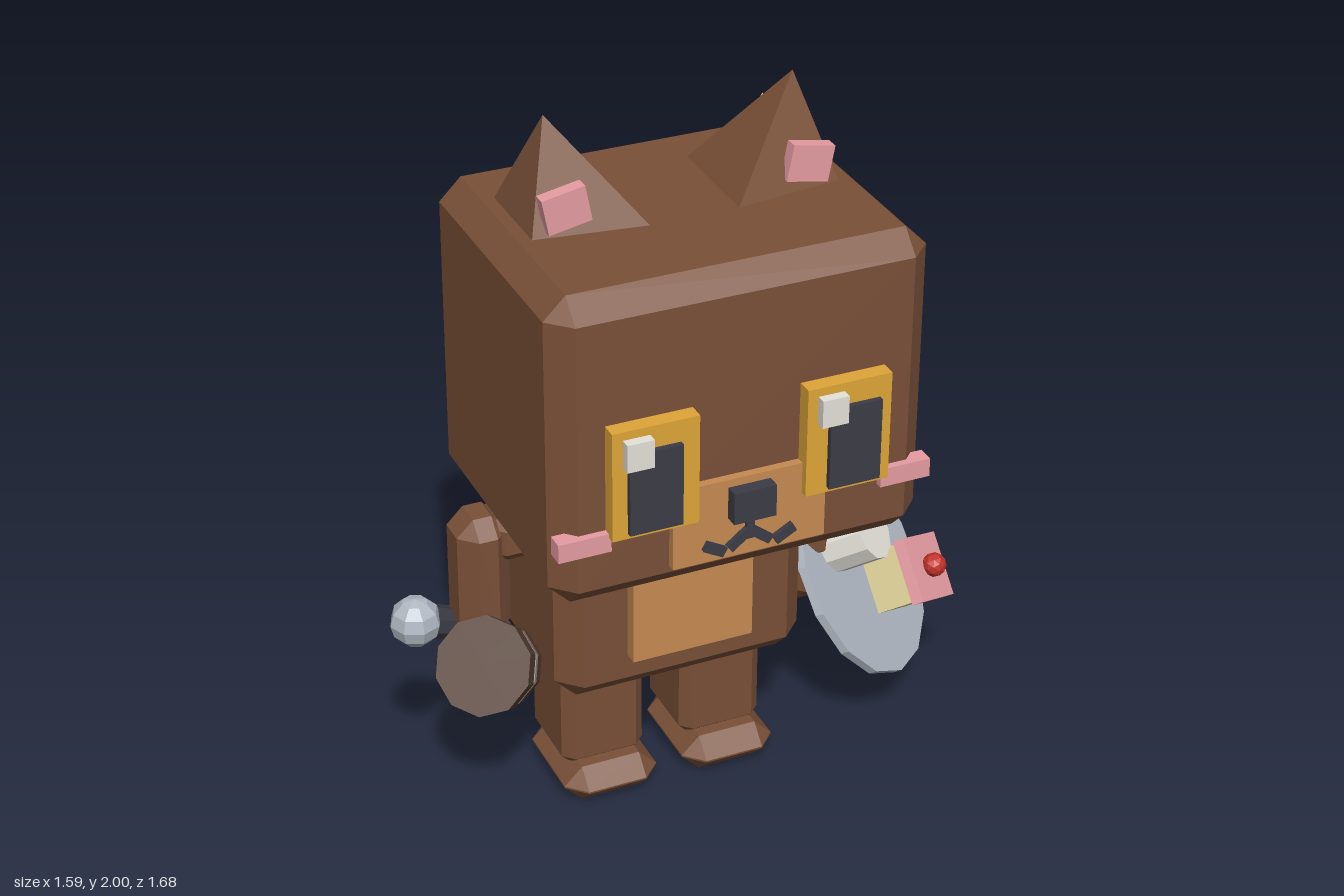
import * as THREE from 'three';
import { ConvexGeometry } from 'three/addons/geometries/ConvexGeometry.js';

const mat = (name, color) => {
  const m = new THREE.MeshStandardMaterial({ color, flatShading: true });
  m.name = name;
  return m;
};
const V = (x, y, z) => new THREE.Vector3(x, y, z);
const UP = V(0, 1, 0);

// Box with every edge cut at 45 degrees
function chamferBox(w, h, d, c) {
  const pts = [];
  for (const x of [-1, 1]) for (const y of [-1, 1]) for (const z of [-1, 1]) {
    const X = w / 2, Y = h / 2, Z = d / 2;
    pts.push(V(x * X, y * (Y - c), z * (Z - c)), V(x * (X - c), y * Y, z * (Z - c)), V(x * (X - c), y * (Y - c), z * Z));
  }
  return new ConvexGeometry(pts);
}

export function createModel() {
  const fur = mat('fur brown', 0x7a5038);
  const tan = mat('tan', 0xc68a52);
  const amber = mat('amber', 0xdfa639);
  const dark = mat('charcoal', 0x3c3c46);
  const white = mat('off white', 0xe6e2da);
  const pink = mat('pink', 0xe69ca2);
  const grey = mat('metal grey', 0xb0b8c2);
  const cream = mat('cream', 0xddd098);
  const red = mat('cherry red', 0xc0322a);
  const wood = mat('dark wood', 0x563f33);

  const root = new THREE.Group();
  root.name = 'catCharacter';
  const CX = -0.09; // symmetry plane of the body

  const add = (name, geo, material, x = 0, y = 0, z = 0) => {
    const m = new THREE.Mesh(geo, material);
    m.name = name;
    m.position.set(x, y, z);
    root.add(m);
    return m;
  };
  // Plain box given by its limits
  const slab = (name, material, x0, x1, y0, y1, z0, z1) =>
    add(name, new THREE.BoxGeometry(x1 - x0, y1 - y0, z1 - z0), material, (x0 + x1) / 2, (y0 + y1) / 2, (z0 + z1) / 2);
  // Chamfered box given by its limits
  const block = (name, material, x0, x1, y0, y1, z0, z1, c) =>
    add(name, chamferBox(x1 - x0, y1 - y0, z1 - z0, c), material, (x0 + x1) / 2, (y0 + y1) / 2, (z0 + z1) / 2);
  // Cylinder or cone running from a to b
  const rod = (name, material, a, b, ra, rb = ra, sides = 8) => {
    const m = add(name, new THREE.CylinderGeometry(rb, ra, a.distanceTo(b), sides), material);
    m.position.copy(a).lerp(b, 0.5);
    m.quaternion.setFromUnitVectors(UP, b.clone().sub(a).normalize());
    return m;
  };
  const lathe = (name, material, profile, sides, x, y, z) =>
    add(name, new THREE.LatheGeometry(profile.map(p => new THREE.Vector2(...p)), sides), material, x, y, z);

  // Head, body and belly
  block('head', fur, -0.578, 0.4, 0.912, 1.74, -0.016, 0.768, 0.057);
  block('body', fur, -0.435, 0.256, 0.38, 1.09, -0.1, 0.44, 0.06);
  slab('belly', tan, -0.256, 0.077, 0.51, 1.0, 0.42, 0.478);

  for (const s of [-1, 1]) {
    const at = r => CX + s * r;
    const side = s < 0 ? 'right' : 'left';

    // Ears with pink inner plates
    add(side + 'Ear', new ConvexGeometry([
      V(at(0.4), 1.735, 0.18), V(at(0.115), 1.735, 0.157), V(at(0.112), 1.735, 0.47),
      V(at(0.4), 1.735, 0.43), V(at(0.323), 2.0, 0.318)]), fur);
    add(side + 'InnerEar', new THREE.BoxGeometry(0.112, 0.094, 0.035), pink, at(0.316), 1.807, 0.427).rotation.z = -s * 0.19;

    // Eyes: amber plate, pupil, and a glint on the same side of each
    const ex = at(0.2505), px = s < 0 ? -0.345 : 0.173;
    slab(side + 'Eye', amber, ex - 0.111, ex + 0.111, 1.12, 1.412, 0.75, 0.81);
    slab(side + 'Pupil', dark, px - 0.068, px + 0.068, 1.135, 1.353, 0.78, 0.825);
    slab(side + 'EyeGlint', white, ex - 0.084, ex - 0.015, 1.316, 1.39, 0.79, 0.836);

    // Cheeks
    add(side + 'Cheek', new THREE.BoxGeometry(0.135, 0.05, 0.045), pink, at(0.422), 1.105, 0.765);

    // Mouth curve
    add(side + 'MouthInner', new THREE.BoxGeometry(0.065, 0.024, 0.04), dark, at(0.029), 1.036, 0.783).rotation.z = -s * 0.66;
    add(side + 'MouthOuter', new THREE.BoxGeometry(0.058, 0.026, 0.04), dark, at(0.092), 1.024, 0.783).rotation.z = s * 0.5;

    // Legs and feet
    add(side + 'Leg', chamferBox(0.232, 0.37, 0.25, 0.03), fur, at(0.17), 0.265, 0.178);
    add(side + 'Foot', chamferBox(0.264, 0.105, 0.33, 0.05), fur, at(0.17), 0.0525, 0.217);

    // Shoulders, arms and paws
    add(side + 'Shoulder', chamferBox(0.16, 0.14, 0.15, 0.035), fur, at(0.37), 0.795, 0.172);
    add(side + 'Arm', chamferBox(0.14, 0.365, 0.164, 0.045), fur, at(0.465), 0.683, 0.172);
    add(side + 'Paw', chamferBox(0.15, 0.16, 0.16, 0.05), fur, at(0.455), 0.465, 0.185);
  }

  // Muzzle, nose and mouth stem
  slab('muzzle', tan, -0.288, 0.113, 0.987, 1.204, 0.75, 0.79);
  slab('nose', dark, -0.145, -0.034, 1.098, 1.183, 0.77, 0.825);
  slab('mouthStem', dark, -0.1, -0.08, 1.035, 1.1, 0.765, 0.803);

  // Tail: chain of tapering blocks ending in an amber link and flame
  const joints = [V(-0.09, 0.5, -0.05), V(-0.09, 0.445, -0.32), V(-0.09, 0.48, -0.545),
    V(-0.06, 0.65, -0.7), V(-0.035, 0.89, -0.785), V(0.02, 1.11, -0.735)];
  const widths = [0.2, 0.19, 0.175, 0.155, 0.14];
  widths.forEach((w, i) => {
    const a = joints[i], b = joints[i + 1];
    const m = add('tailSegment' + (i + 1), chamferBox(w, a.distanceTo(b) + 0.05, w * 0.92, w * 0.26), i === 4 ? amber : fur);
    m.position.copy(a).lerp(b, 0.5);
    m.quaternion.setFromUnitVectors(UP, b.clone().sub(a).normalize());
  });
  lathe('tailFlame', amber, [[0, 0], [0.045, 0.01], [0.075, 0.07], [0.065, 0.13], [0, 0.24]], 8, 0.025, 1.09, -0.73);

  // Torch slung across the back
  const t0 = V(-0.02, 0.67, -0.23), t1 = V(0.375, 1.195, -0.23);
  rod('torchPole', wood, t0, t1, 0.036);
  for (const f of [0.29, 0.58])
    rod('torchBand', tan, t0.clone().lerp(t1, f - 0.03), t0.clone().lerp(t1, f + 0.03), 0.046);
  rod('torchCup', tan, V(0.35, 1.165, -0.23), V(0.415, 1.265, -0.23), 0.042, 0.075);
  lathe('torchFlame', amber, [[0, 0], [0.06, 0.01], [0.113, 0.1], [0.122, 0.17], [0.11, 0.245], [0, 0.455]], 8, 0.422, 1.225, -0.23);
  add('flameCore', new THREE.SphereGeometry(1, 8, 6), cream, 0.422, 1.4, -0.145).scale.set(0.065, 0.095, 0.065);

  // Torch bracket
  slab('bracketArm', wood, 0.235, 0.315, 1.085, 1.115, -0.19, 0.0);
  slab('bracketPost', wood, 0.235, 0.315, 0.82, 1.115, -0.195, -0.15);
  slab('bracketHook', wood, 0.16, 0.315, 0.82, 0.88, -0.25, -0.15);

  // Tray with cup and cake, tilted outward in the left paw
  const n = V(0.6, 0.53, 0.6).normalize();
  const along = (p, d, dir = n) => p.clone().addScaledVector(dir, d);
  const plate = V(0.545, 0.41, 0.185);
  rod('tray', grey, along(plate, -0.012), along(plate, 0.012), 0.3, 0.3, 14);
  const cup = V(0.5, 0.56, 0.245);
  rod('cup', white, along(cup, -0.09), along(cup, 0.055), 0.08, 0.08, 10);

  const right = V(0, 1, 0).cross(n).normalize();
  const turn = new THREE.Quaternion().setFromRotationMatrix(
    new THREE.Matrix4().makeBasis(right, n.clone().cross(right), n));
  turn.multiply(new THREE.Quaternion().setFromAxisAngle(V(0, 0, 1), -0.44));
  const icing = V(0.7, 0.415, 0.262);
  const layer = (name, material, size, thick, offset) => {
    const m = add(name, new THREE.BoxGeometry(size, size, thick), material);
    m.position.copy(along(icing, offset));
    m.quaternion.copy(turn);
  };
  layer('cakeIcing', pink, 0.18, 0.035, 0);
  layer('cakeSponge', cream, 0.165, 0.12, -0.075);
  add('cherry', new THREE.IcosahedronGeometry(0.034, 1), red).position.copy(along(icing, 0.035));

  // Banded drum in the right paw
  const nd = V(-0.56, 0.54, 0.63).normalize();
  const drum = V(-0.615, 0.515, 0.345);
  rod('drumFront', wood, along(drum, -0.06, nd), drum, 0.125, 0.13, 10);
  rod('drumBand', white, along(drum, -0.115, nd), along(drum, -0.06, nd), 0.11, 0.115, 10);
  rod('drumBack', wood, along(drum, -0.16, nd), along(drum, -0.115, nd), 0.11, 0.115, 10);

  // Round-headed baton beside it
  rod('batonHandle', dark, V(-0.51, 0.47, 0.11), V(-0.705, 0.565, 0.165), 0.036, 0.048);
  add('batonHead', new THREE.SphereGeometry(0.068, 8, 6), grey, -0.732, 0.578, 0.173);

  return root;
}
